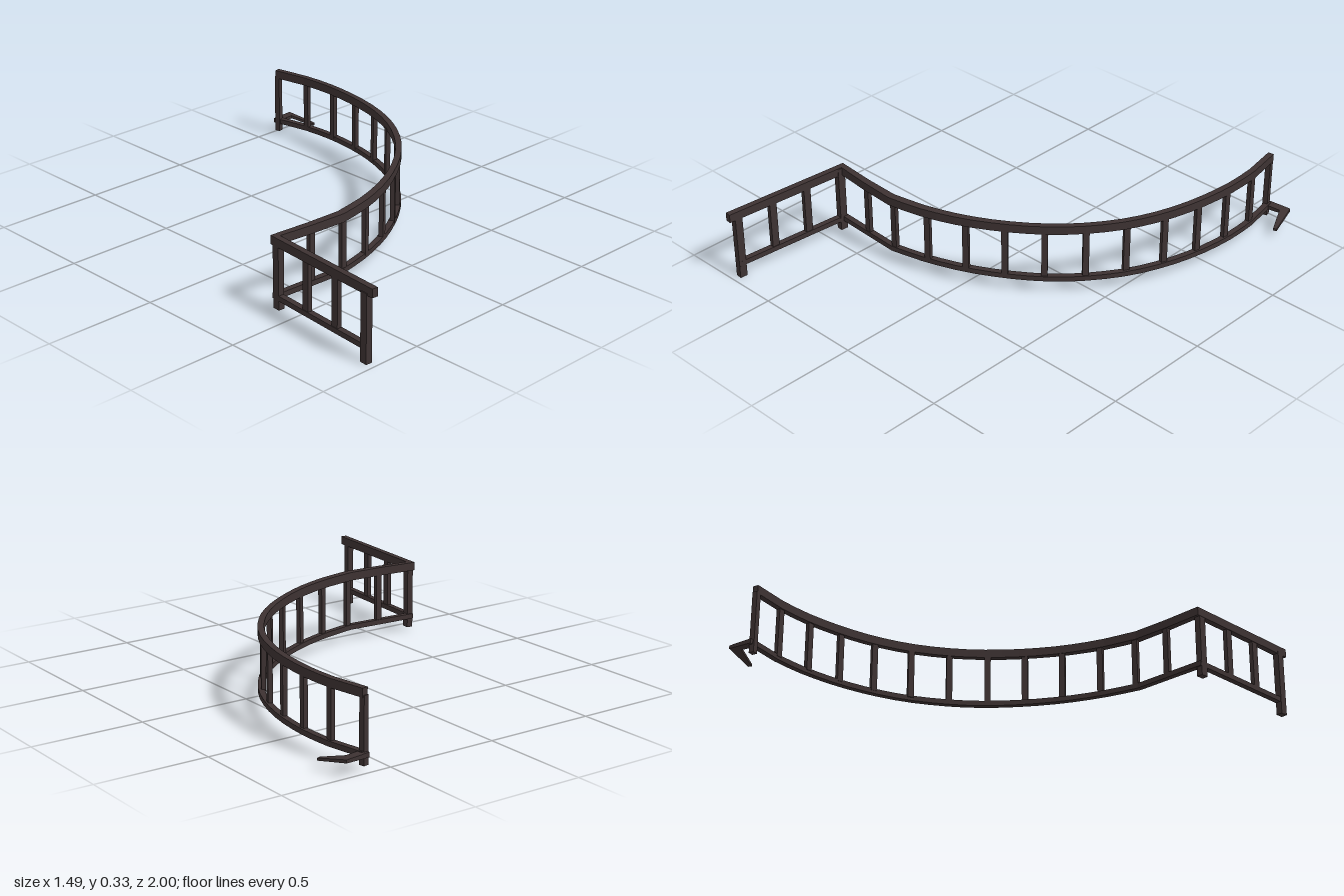
import * as THREE from 'three';

const material = new THREE.MeshStandardMaterial({ color: 0x3d3232, flatShading: true });

// Mitred sweep of a rectangular bar along points [x, y, z, width, height]
function sweepBar(name, pts) {
  const pos = [], index = [], last = pts.length - 1;
  const dir = (a, b) => new THREE.Vector2(b[0] - a[0], b[2] - a[2]).normalize();
  pts.forEach((p, i) => {
    const before = dir(pts[Math.max(i - 1, 0)], pts[Math.max(i, 1)]);
    const after = dir(pts[Math.min(i, last - 1)], pts[Math.min(i + 1, last)]);
    const t = before.clone().add(after).normalize();
    const k = p[3] / 2 / t.dot(after), h = p[4] / 2;
    const sx = -t.y * k, sz = t.x * k; // right-hand side of the path
    for (const [s, v] of [[1, -h], [1, h], [-1, h], [-1, -h]])
      pos.push(p[0] + s * sx, p[1] + v, p[2] + s * sz);
    if (i) for (let j = 0; j < 4; j++) {
      const a = (i - 1) * 4 + j, b = (i - 1) * 4 + (j + 1) % 4;
      index.push(a, b + 4, b, a, a + 4, b + 4);
    }
  });
  // end caps
  const e = last * 4;
  index.push(0, 1, 2, 0, 2, 3, e, e + 2, e + 1, e, e + 3, e + 2);
  const geo = new THREE.BufferGeometry();
  geo.setAttribute('position', new THREE.Float32BufferAttribute(pos, 3));
  geo.setIndex(index);
  const flat = geo.toNonIndexed();
  flat.computeVertexNormals();
  const mesh = new THREE.Mesh(flat, material);
  mesh.name = name;
  return mesh;
}

// Plans of the curved run as [x, z]; the handrail leans out near the straight part
const topArc = [[-0.345, 0.426], [-0.18, 0.393], [0.005, 0.324], [0.19, 0.215], [0.323, 0.106],
  [0.42, -0.003], [0.508, -0.138], [0.575, -0.3], [0.616, -0.476], [0.634, -0.66], [0.629, -0.8]];
const lowArc = [[-0.345, 0.424], [-0.18, 0.386], [0.007, 0.316], [0.193, 0.21], [0.327, 0.104],
  [0.422, -0.003], [0.512, -0.138], [0.581, -0.3], [0.625, -0.476], [0.643, -0.66], [0.637, -0.8]];

function curvePlan(plan) {
  const curve = new THREE.CatmullRomCurve3(plan.map(([x, z]) => new THREE.Vector3(x, 0, z)));
  return curve.getSpacedPoints(22).map(p => [p.x, p.z]);
}

export function createModel() {
  const group = new THREE.Group();

  // Handrail along the straight side and the curve, a little broader at the bend
  const top = [[-0.73, 0.997], [-0.682, 0.402], [-0.51, 0.418], ...curvePlan(topArc), [0.6, -0.971]];
  group.add(sweepBar('topRail', top.map(([x, z]) => {
    const bend = Math.max(0, 1 - Math.abs(x + 0.3) / 0.4);
    return [x, 0.31, z, 0.027 + 0.009 * bend, 0.038];
  })));

  // Lower rail, ending in a drooping hook
  const low = [[-0.728, 0.965], [-0.682, 0.407], ...curvePlan(lowArc), [0.605, -0.973]];
  group.add(sweepBar('bottomRail', low.map(([x, z]) => [x, 0.068, z, 0.026, 0.023])));
  group.add(sweepBar('railHook', [
    [0.593, 0.066, -0.968, 0.04, 0.021],
    [0.693, 0.067, -0.979, 0.04, 0.014],
    [0.734, 0.042, -0.857, 0.016, 0.011],
  ]));

  // Upright at [x, z], turned to follow the rail
  function upright(name, x, z, angle, y0, y1, along, across) {
    const mesh = new THREE.Mesh(new THREE.BoxGeometry(along, y1 - y0, across), material);
    mesh.position.set(x, (y0 + y1) / 2, z);
    mesh.rotation.y = angle;
    mesh.name = name;
    group.add(mesh);
  }
  const side = Math.atan2(0.595, 0.048);
  upright('endPost', -0.729, 0.952, side, 0, 0.3, 0.035, 0.029);
  upright('cornerPost', -0.682, 0.418, side, 0.015, 0.325, 0.035, 0.028);
  upright('farPost', 0.6, -0.963, 1.77, 0.02, 0.3, 0.025, 0.024);
  for (const [x, z] of [[-0.713, 0.776], [-0.698, 0.599]])
    upright('sideBaluster', x, z, side, 0.07, 0.3, 0.034, 0.02);

  const balusters = [[-0.504, 0.417], [-0.332, 0.422], [-0.165, 0.386], [0, 0.323], [0.149, 0.242],
    [0.282, 0.141], [0.402, 0.018], [0.497, -0.13], [0.571, -0.287], [0.615, -0.453],
    [0.635, -0.62], [0.632, -0.796]];
  balusters.forEach(([x, z], i) => {
    const a = balusters[Math.max(i - 1, 0)], b = balusters[Math.min(i + 1, balusters.length - 1)];
    upright('curveBaluster', x, z, Math.atan2(a[1] - b[1], b[0] - a[0]), 0.07, 0.3, 0.027, 0.02);
  });
  return group;
}
